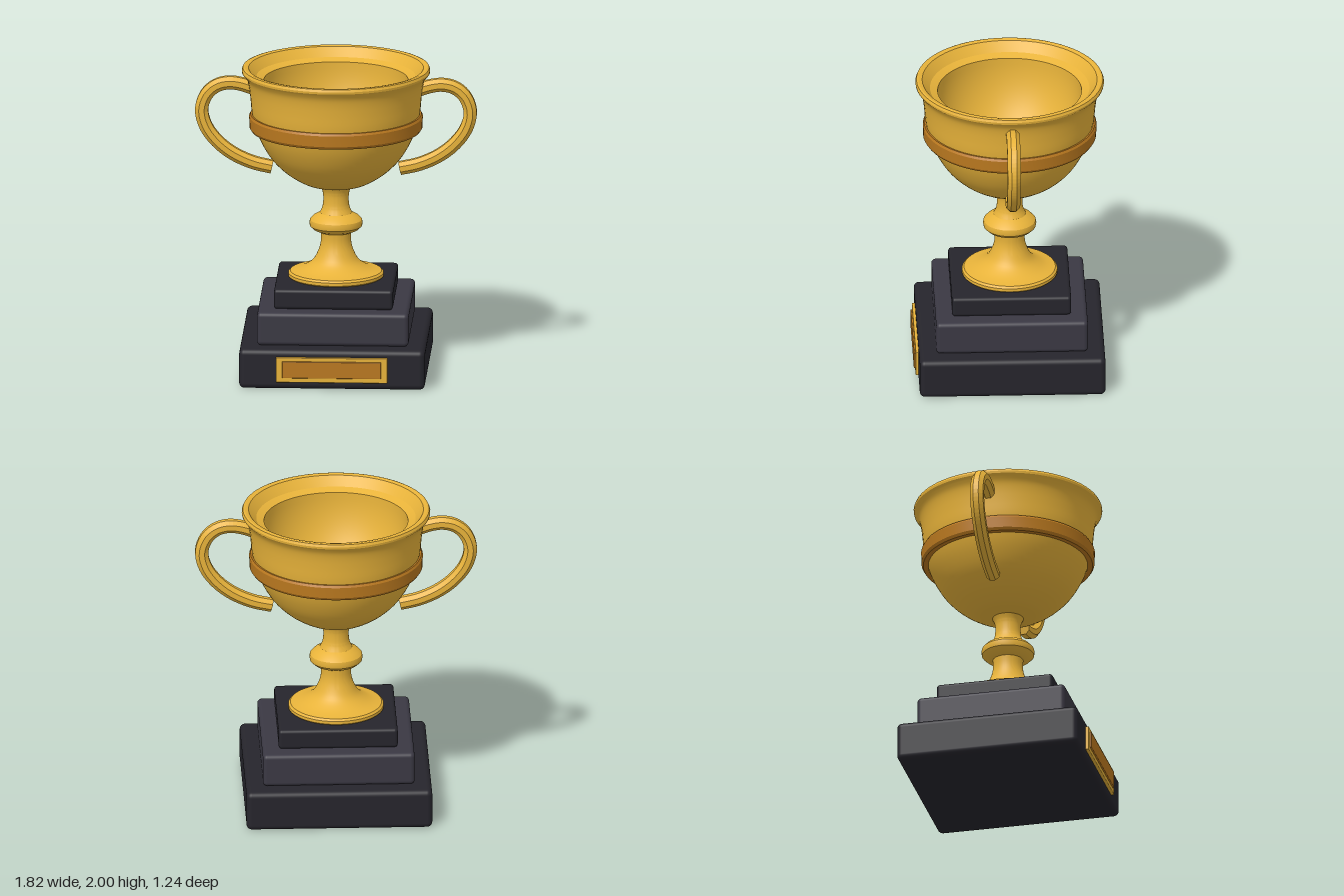
import * as THREE from 'three';
import { RoundedBoxGeometry } from 'three/addons/geometries/RoundedBoxGeometry.js';
import { toCreasedNormals } from 'three/addons/utils/BufferGeometryUtils.js';

const material = (color, extra = {}) => new THREE.MeshStandardMaterial({ color, ...extra });
const gold = material(0xe8b33a);
const goldFaceted = material(0xe8b33a, { flatShading: true });
const bronze = material(0xb9781f);
const black = material(0x26252c);
const charcoal = material(0x3a3843);

const points = (list) => list.map(([x, y]) => new THREE.Vector2(x, y));
const smooth = (list, n = 20) => new THREE.SplineCurve(points(list)).getPoints(n);

export function createModel() {
  const root = new THREE.Group();
  const trophy = new THREE.Group();
  trophy.name = 'trophy';
  trophy.position.z = -0.01;
  root.add(trophy);

  const add = (name, geometry, mat, x = 0, y = 0, z = 0) => {
    const mesh = new THREE.Mesh(geometry, mat);
    mesh.name = name;
    mesh.position.set(x, y, z);
    trophy.add(mesh);
    return mesh;
  };
  const turned = (name, profile, mat) =>
    add(name, toCreasedNormals(new THREE.LatheGeometry(profile, 72), 0.45), mat);

  // Stepped square plinth
  const tiers = [
    ['plinthBottom', 1.2, 0, 0.26, 0.035, black],
    ['plinthMiddle', 0.98, 0.26, 0.477, 0.028, charcoal],
    ['plinthTop', 0.77, 0.477, 0.607, 0.022, black],
  ];
  for (const [name, width, y0, y1, radius, mat] of tiers) {
    add(name, new RoundedBoxGeometry(width, y1 - y0, width, 4, radius), mat, 0, (y0 + y1) / 2);
  }

  // Name plate on the front
  add('plateFrame', new RoundedBoxGeometry(0.72, 0.165, 0.04, 2, 0.005), gold, 0, 0.132, 0.6);
  add('platePanel', new RoundedBoxGeometry(0.64, 0.11, 0.04, 2, 0.005), bronze, 0, 0.135, 0.61);

  // Foot and lower stem
  turned('foot', [
    ...points([[0, 0.605], [0.295, 0.605], [0.308, 0.615], [0.308, 0.635], [0.295, 0.648]]),
    ...smooth([[0.292, 0.648], [0.22, 0.668], [0.15, 0.715], [0.112, 0.785], [0.097, 0.85], [0.1, 0.92]]),
  ], gold);

  // Knob between the two stem sections
  turned('stemKnob', points([
    [0, 0.906], [0.11, 0.906], [0.145, 0.922], [0.168, 0.944], [0.172, 0.965],
    [0.168, 0.986], [0.145, 1.01], [0.105, 1.032], [0, 1.032],
  ]), gold);

  turned('upperStem', smooth([
    [0.108, 1.025], [0.088, 1.07], [0.082, 1.12], [0.086, 1.17], [0.105, 1.215],
  ]), gold);

  // Bowl: outer wall, rolled rim, inner ledge and hollow
  const hollow = [];
  for (let i = 0; i <= 20; i++) {
    const a = (i / 20) * Math.PI / 2;
    hollow.push(new THREE.Vector2(0.465 * Math.cos(a), 1.915 - 0.56 * Math.sin(a)));
  }
  hollow[20].x = 0;
  turned('bowl', [
    new THREE.Vector2(0, 1.2),
    ...smooth([
      [0.09, 1.203], [0.17, 1.22], [0.24, 1.25], [0.33, 1.31], [0.415, 1.395], [0.48, 1.5],
      [0.52, 1.6], [0.543, 1.7], [0.553, 1.8], [0.562, 1.87], [0.575, 1.92], [0.597, 1.955],
    ], 40),
    ...points([[0.607, 1.966], [0.609, 1.98], [0.602, 1.996], [0.59, 2], [0.565, 1.994], [0.515, 1.935]]),
    ...hollow,
  ], gold);

  // Raised band round the bowl
  turned('bowlBand', points([
    [0.505, 1.585], [0.547, 1.585], [0.559, 1.603], [0.561, 1.675], [0.552, 1.69], [0.53, 1.69],
  ]), bronze);

  // Handles: an octagonal section swept along a curved path
  const section = new THREE.Shape();
  for (let i = 0; i < 8; i++) {
    const a = (i + 0.5) * Math.PI / 4;
    section[i ? 'lineTo' : 'moveTo'](0.046 * Math.cos(a), 0.046 * Math.sin(a));
  }
  section.closePath();
  for (const [name, side] of [['leftHandle', 1], ['rightHandle', -1]]) {
    const path = new THREE.CatmullRomCurve3([
      [0.54, 1.855], [0.61, 1.878], [0.69, 1.888], [0.77, 1.868], [0.835, 1.81], [0.868, 1.71],
      [0.842, 1.6], [0.77, 1.5], [0.67, 1.42], [0.54, 1.36], [0.413, 1.33],
    ].map(([x, y]) => new THREE.Vector3(side * x, y, 0)));
    add(name, new THREE.ExtrudeGeometry(section, { steps: 48, extrudePath: path }), goldFaceted);
  }

  return root;
}
